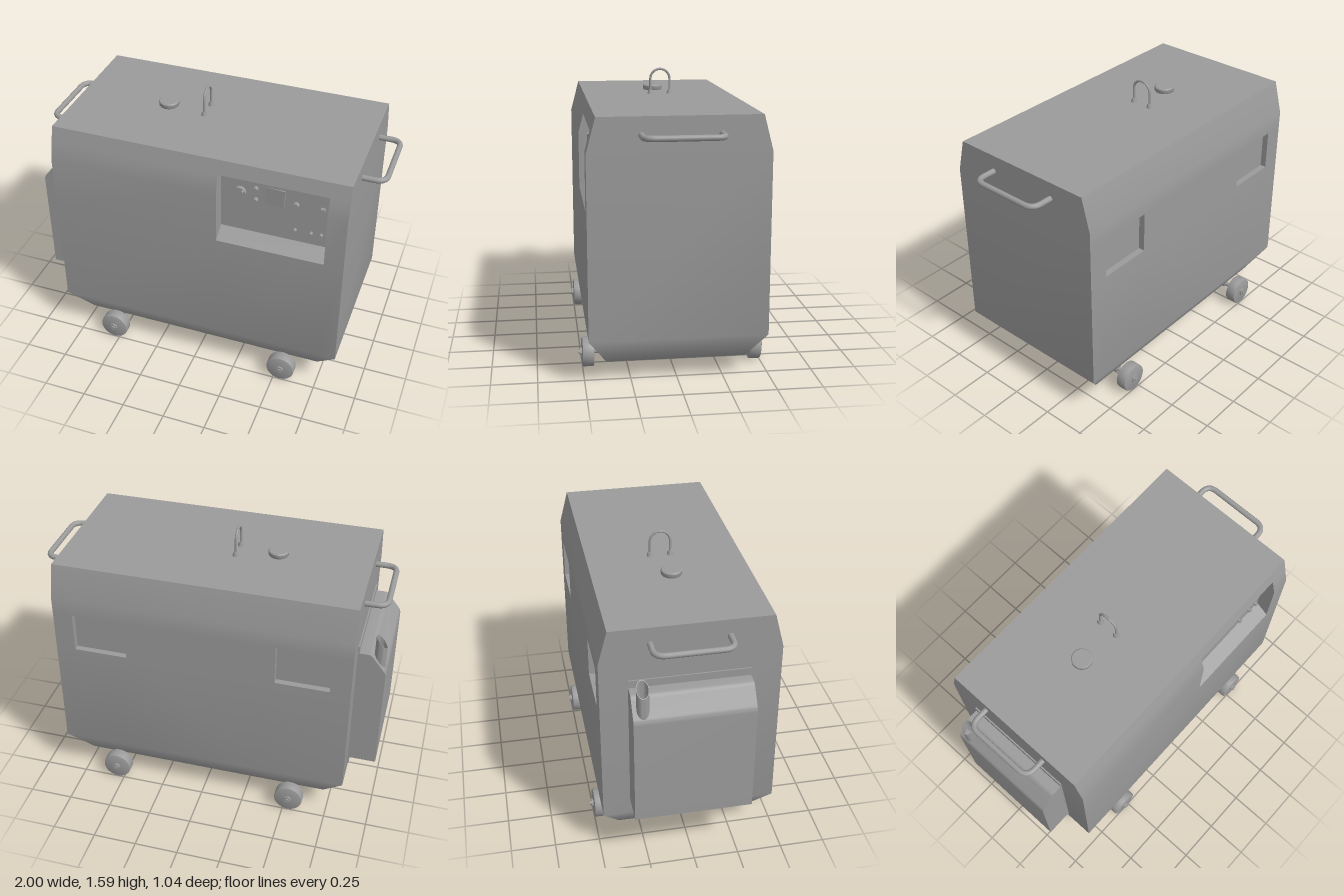
import * as THREE from 'three';
import { toCreasedNormals } from 'three/addons/utils/BufferGeometryUtils.js';

const grey = new THREE.MeshStandardMaterial({ color: 0x9b9b9b });

function add(parent, name, geometry, x = 0, y = 0, z = 0) {
  const mesh = new THREE.Mesh(geometry, grey);
  mesh.name = name;
  mesh.position.set(x, y, z);
  parent.add(mesh);
  return mesh;
}

// Linear interpolation through [y, value] pairs
function along(pairs, y) {
  for (let i = 1; i < pairs.length; i++) {
    const [y0, a] = pairs[i - 1], [y1, b] = pairs[i];
    if (y <= y1) return a + (b - a) * (y - y0) / (y1 - y0);
  }
  return pairs[pairs.length - 1][1];
}
const halfDepth = (y) => along([[0.096, 0.38], [0.256, 0.48], [1.25, 0.48], [1.44, 0.43]], y);
const leftEnd = (y) => along([[0.096, 0.735], [0.256, 0.858], [1.44, 0.858]], y);
const rightEnd = (y) => along([[0.096, -0.72], [0.256, -0.84], [1.44, -0.84]], y);

// Area-weighted normals, smooth across shallow bends so that large panels stay flat
function smoothBends(corners, maxAngle) {
  const faces = [];
  for (let i = 0; i < corners.length; i += 3) {
    const [a, b, c] = corners.slice(i, i + 3);
    faces.push(b.clone().sub(a).cross(c.clone().sub(a)));
  }
  const normals = corners.map((p, i) => {
    const own = faces[Math.floor(i / 3)], sum = new THREE.Vector3();
    corners.forEach((q, j) => {
      const other = faces[Math.floor(j / 3)];
      if (p.distanceToSquared(q) < 1e-8 && own.angleTo(other) < maxAngle) sum.add(other);
    });
    return sum.normalize();
  });
  const geometry = new THREE.BufferGeometry().setFromPoints(corners);
  geometry.setAttribute('normal', new THREE.Float32BufferAttribute(normals.flatMap((n) => n.toArray()), 3));
  return geometry;
}

// Cabinet shell: front and back skins with recessed windows, two ends, lid and floor
function cabinetGeometry() {
  const corners = [];
  const quad = (a, b, c, d, s = 1) => {
    const p = (s > 0 ? [a, b, c, d] : [a, d, c, b]).map(([x, y, z]) => new THREE.Vector3(x, y, z * s));
    corners.push(p[0], p[1], p[2], p[0], p[2], p[3]);
  };
  const rows = [0.096, 0.256, 1.25, 1.44];

  const skin = (s, recesses) => {
    const unique = (list) => [...new Set(list)].sort((a, b) => a - b);
    const xs = unique([-0.84, 0.858, ...recesses.flatMap((r) => [r.x0, r.x1])]);
    const ys = unique([...rows, ...recesses.flatMap((r) => [r.y0, r.y1])]);
    const at = (x, y) => [Math.min(leftEnd(y), Math.max(rightEnd(y), x)), y, halfDepth(y)];
    for (let i = 0; i + 1 < xs.length; i++) {
      for (let j = 0; j + 1 < ys.length; j++) {
        const mx = (xs[i] + xs[i + 1]) / 2, my = (ys[j] + ys[j + 1]) / 2;
        if (recesses.some((r) => mx > r.x0 && mx < r.x1 && my > r.y0 && my < r.y1)) continue;
        quad(at(xs[i], ys[j]), at(xs[i + 1], ys[j]), at(xs[i + 1], ys[j + 1]), at(xs[i], ys[j + 1]), s);
      }
    }
    // Walls and floor of each recess
    for (const { x0, x1, y0, y1, f0, f1, z } of recesses) {
      const wy = ys.filter((y) => y >= y0 && y <= y1);
      const inner = (x, y) => [x, Math.min(f1, Math.max(f0, y)), z];
      for (let j = 0; j + 1 < wy.length; j++) {
        const a = wy[j], b = wy[j + 1];
        quad(at(x0, a), inner(x0, a), inner(x0, b), at(x0, b), s);
        quad(at(x1, b), inner(x1, b), inner(x1, a), at(x1, a), s);
      }
      quad(at(x0, y0), at(x1, y0), inner(x1, y0), inner(x0, y0), s);
      quad(inner(x0, y1), inner(x1, y1), at(x1, y1), at(x0, y1), s);
      quad(inner(x0, y0), inner(x1, y0), inner(x1, y1), inner(x0, y1), s);
    }
  };
  skin(1, [{ x0: 0.137, x1: 0.749, y0: 0.935, y1: 1.358, f0: 0.99, f1: 1.345, z: 0.4 }]);
  skin(-1, [[-0.725, -0.42], [0.436, 0.744]].map(([x0, x1]) =>
    ({ x0, x1, y0: 0.92, y1: 1.153, f0: 0.92, f1: 1.153, z: 0.445 })));

  for (let j = 0; j < 3; j++) {
    const a = rows[j], b = rows[j + 1], za = halfDepth(a), zb = halfDepth(b);
    quad([leftEnd(a), a, za], [leftEnd(a), a, -za], [leftEnd(b), b, -zb], [leftEnd(b), b, zb]);
    quad([rightEnd(a), a, -za], [rightEnd(a), a, za], [rightEnd(b), b, zb], [rightEnd(b), b, -zb]);
  }
  quad([-0.84, 1.44, 0.43], [0.858, 1.44, 0.43], [0.858, 1.44, -0.43], [-0.84, 1.44, -0.43]);
  quad([-0.72, 0.096, -0.38], [0.735, 0.096, -0.38], [0.735, 0.096, 0.38], [-0.72, 0.096, 0.38]);
  return smoothBends(corners, 0.7);
}

// Bent tube through straight runs with rounded corners
function bentTube(points, bend, radius) {
  const path = new THREE.CurvePath();
  const v = points.map((p) => new THREE.Vector3(...p));
  let from = v[0];
  for (let i = 1; i + 1 < v.length; i++) {
    const before = v[i].clone().add(v[i - 1].clone().sub(v[i]).setLength(bend));
    const after = v[i].clone().add(v[i + 1].clone().sub(v[i]).setLength(bend));
    path.add(new THREE.LineCurve3(from, before));
    path.add(new THREE.QuadraticBezierCurve3(before, v[i], after));
    from = after;
  }
  path.add(new THREE.LineCurve3(from, v[v.length - 1]));
  return new THREE.TubeGeometry(path, 64, radius, 12);
}

// Cylinder lying along z, and a turned part with crisp edges
const zCylinder = (r, length, sides = 24) =>
  new THREE.CylinderGeometry(r, r, length, sides).rotateX(Math.PI / 2);
const turned = (profile, sides) =>
  new THREE.LatheGeometry(profile.map(([r, h]) => new THREE.Vector2(r, h)), sides);

function controlPanel() {
  const panel = new THREE.Group();
  panel.name = 'controlPanel';
  panel.position.set(0.003, 0, 0.4);
  add(panel, 'selectorKnob', zCylinder(0.034, 0.02), 0.245, 1.245, 0.01);
  add(panel, 'selectorGrip', new THREE.BoxGeometry(0.062, 0.012, 0.018), 0.245, 1.245, 0.027).rotation.z = Math.PI / 4;
  add(panel, 'display', new THREE.BoxGeometry(0.12, 0.108, 0.012), 0.435, 1.251, -0.002).rotation.y = -0.08;
  add(panel, 'switch', new THREE.BoxGeometry(0.024, 0.022, 0.02), 0.705, 1.237, 0.01);
  const buttons = [[0.333, 1.285, 0.014], [0.333, 1.212, 0.014], [0.557, 1.232, 0.018],
    [0.558, 1.067, 0.01], [0.647, 1.067, 0.01], [0.703, 1.067, 0.01]];
  for (const [x, y, r] of buttons) add(panel, 'button', zCylinder(r, 0.022, 16), x, y, 0.011);
  return panel;
}

function exhaust() {
  const group = new THREE.Group();
  group.name = 'exhaust';
  // Housing profile, extruded across the end
  const shape = new THREE.Shape();
  shape.moveTo(-0.835, 0.345);
  shape.lineTo(-0.835, 1.097);
  shape.lineTo(-0.9, 1.097);
  shape.quadraticCurveTo(-0.917, 1.095, -0.93, 1.073);
  shape.lineTo(-0.988, 1.0);
  shape.quadraticCurveTo(-1, 0.985, -1, 0.965);
  shape.lineTo(-1, 0.345);
  const housing = new THREE.ExtrudeGeometry(shape, { depth: 0.645, bevelEnabled: false, curveSegments: 5 });
  add(group, 'exhaustHousing', toCreasedNormals(housing, 0.7), 0, 0, -0.33);
  add(group, 'exhaustBackPlate', new THREE.BoxGeometry(0.016, 0.84, 0.645), -0.84, 0.72, -0.007);
  // Hollow outlet pipe with a slanted mouth
  const pipe = turned([[0.033, -0.1], [0.033, 0.1], [0.03, 0.1], [0.03, -0.01], [0, -0.01]], 24);
  const p = pipe.attributes.position;
  for (let i = 0; i < p.count; i++) if (p.getY(i) > 0) p.setY(i, 0.1 + p.getX(i) * 1.15);
  add(group, 'exhaustOutlet', toCreasedNormals(pipe, 0.6), -0.958, 1.058, -0.275);
  return group;
}

function wheelSet(x) {
  const group = new THREE.Group();
  group.name = 'wheelSet';
  group.position.set(x, 0.084, 0);
  add(group, 'axle', zCylinder(0.012, 0.9, 16));
  const tyre = [[0, -0.033], [0.074, -0.033], [0.081, -0.03], [0.083, -0.024],
    [0.083, 0.024], [0.081, 0.03], [0.074, 0.033], [0, 0.033]];
  for (const s of [1, -1]) {
    add(group, 'wheel', toCreasedNormals(turned(tyre, 40).rotateX(Math.PI / 2), 0.8), 0, 0, 0.469 * s);
    add(group, 'hubNut', toCreasedNormals(zCylinder(0.023, 0.012, 8), 0.5), 0, 0, 0.507 * s);
    add(group, 'axleTip', zCylinder(0.012, 0.02, 12), 0, 0, 0.511 * s);
    add(group, 'axleBracket', new THREE.BoxGeometry(0.036, 0.032, 0.12), 0, 0.003, 0.32 * s);
  }
  return group;
}

function liftingHook() {
  const group = new THREE.Group();
  group.name = 'liftingHook';
  group.position.set(-0.091, 1.44, -0.018);
  const r = 0.057, path = new THREE.CurvePath();
  const arch = Array.from({ length: 13 }, (_, i) => {
    const a = Math.PI * i / 12;
    return new THREE.Vector3(0, 0.088 + r * Math.sin(a), r * Math.cos(a));
  });
  path.add(new THREE.LineCurve3(new THREE.Vector3(0, 0, r), arch[0]));
  path.add(new THREE.CatmullRomCurve3(arch));
  path.add(new THREE.LineCurve3(arch[12], new THREE.Vector3(0, 0, -r)));
  add(group, 'hookLoop', new THREE.TubeGeometry(path, 48, 0.007, 10));
  for (const s of [1, -1]) add(group, 'hookFoot', new THREE.CylinderGeometry(0.012, 0.018, 0.024, 16), 0, 0.012, r * s);
  return group;
}

export function createModel() {
  const model = new THREE.Group();
  model.name = 'generator';
  add(model, 'cabinet', cabinetGeometry());
  model.add(controlPanel(), exhaust(), liftingHook(), wheelSet(-0.53), wheelSet(0.54));
  const cap = turned([[0.054, 0], [0.057, 0.005], [0.057, 0.025], [0.052, 0.03], [0, 0.03]], 32);
  add(model, 'fuelCap', toCreasedNormals(cap, 0.7), -0.318, 1.44, 0);
  // Carrying handles on both ends
  for (const [name, start, end] of [['leftHandle', 0.848, 0.984], ['rightHandle', -0.83, -0.96]]) {
    const points = [[start, 1.345, 0.199], [end, 1.345, 0.199], [end, 1.345, -0.214], [start, 1.345, -0.214]];
    add(model, name, bentTube(points, 0.06, 0.016));
  }
  return model;
}
